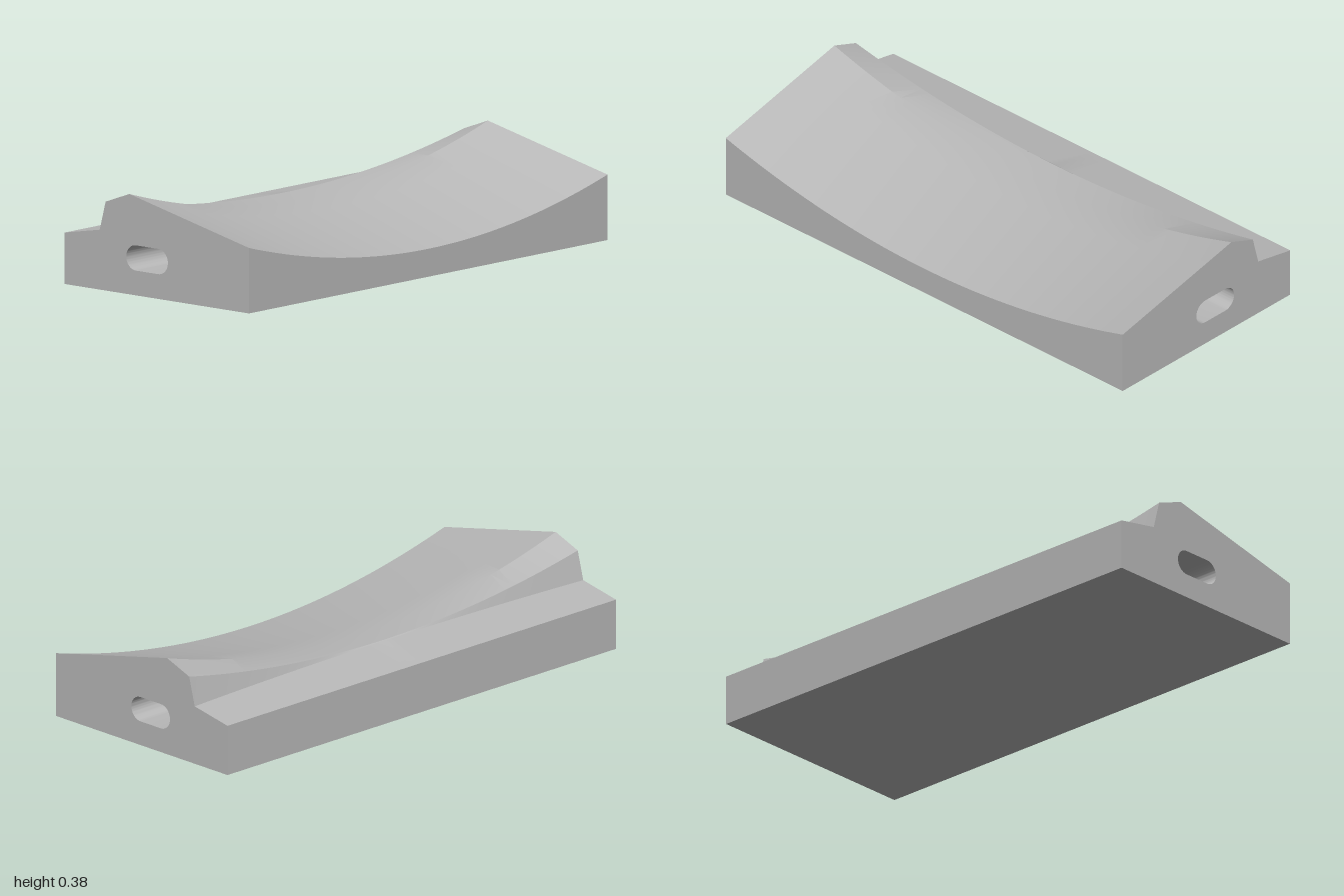
import * as THREE from 'three';
import { toCreasedNormals } from 'three/addons/utils/BufferGeometryUtils.js';

// Cross-section corners: [z, y] at both ends, then [z, y] at the middle of the length
const PROFILE = [
  [0.455, 0, 0.455, 0],
  [0.455, 0.246, 0.455, 0.105],
  [0, 0.347, 0, 0.206],
  [-0.135, 0.377, -0.135, 0.224],
  [-0.252, 0.334, -0.252, 0.231],
  [-0.281, 0.225, -0.256, 0.229],
  [-0.455, 0.193, -0.455, 0.193],
  [-0.455, 0, -0.455, 0],
];

export function createModel() {
  const group = new THREE.Group();
  const grey = new THREE.MeshStandardMaterial({ color: 0xb8b8b8 });
  grey.name = 'plain grey';

  // End outline with the rounded slot that runs through the whole length
  const shape = new THREE.Shape(PROFILE.map(([z, y]) => new THREE.Vector2(-z, y)));
  const slot = new THREE.Path();
  const r = 0.0475, cy = 0.1405, front = -0.0075, back = 0.1025;
  slot.moveTo(front, cy + r);
  slot.absarc(front, cy, r, Math.PI / 2, Math.PI * 1.5, false);
  slot.lineTo(back, cy - r);
  slot.absarc(back, cy, r, -Math.PI / 2, Math.PI / 2, false);
  shape.holes.push(slot);

  const geometry = new THREE.ExtrudeGeometry(shape, {
    depth: 2, steps: 48, bevelEnabled: false, curveSegments: 16,
  });
  geometry.rotateY(Math.PI / 2);
  geometry.translate(-1, 0, 0);

  // Sag the top corners along a parabola towards the middle
  const pos = geometry.attributes.position;
  for (let i = 0; i < pos.count; i++) {
    const x = pos.getX(i), y = pos.getY(i), z = pos.getZ(i);
    const corner = PROFILE.find((p) => Math.abs(p[0] - z) + Math.abs(p[1] - y) < 1e-4);
    if (!corner) continue;
    const t = x * x;
    pos.setZ(i, THREE.MathUtils.lerp(corner[2], corner[0], t));
    pos.setY(i, THREE.MathUtils.lerp(corner[3], corner[1], t));
  }

  const body = new THREE.Mesh(toCreasedNormals(geometry, 0.3), grey);
  body.name = 'curvedRestBlock';
  group.add(body);
  return group;
}
